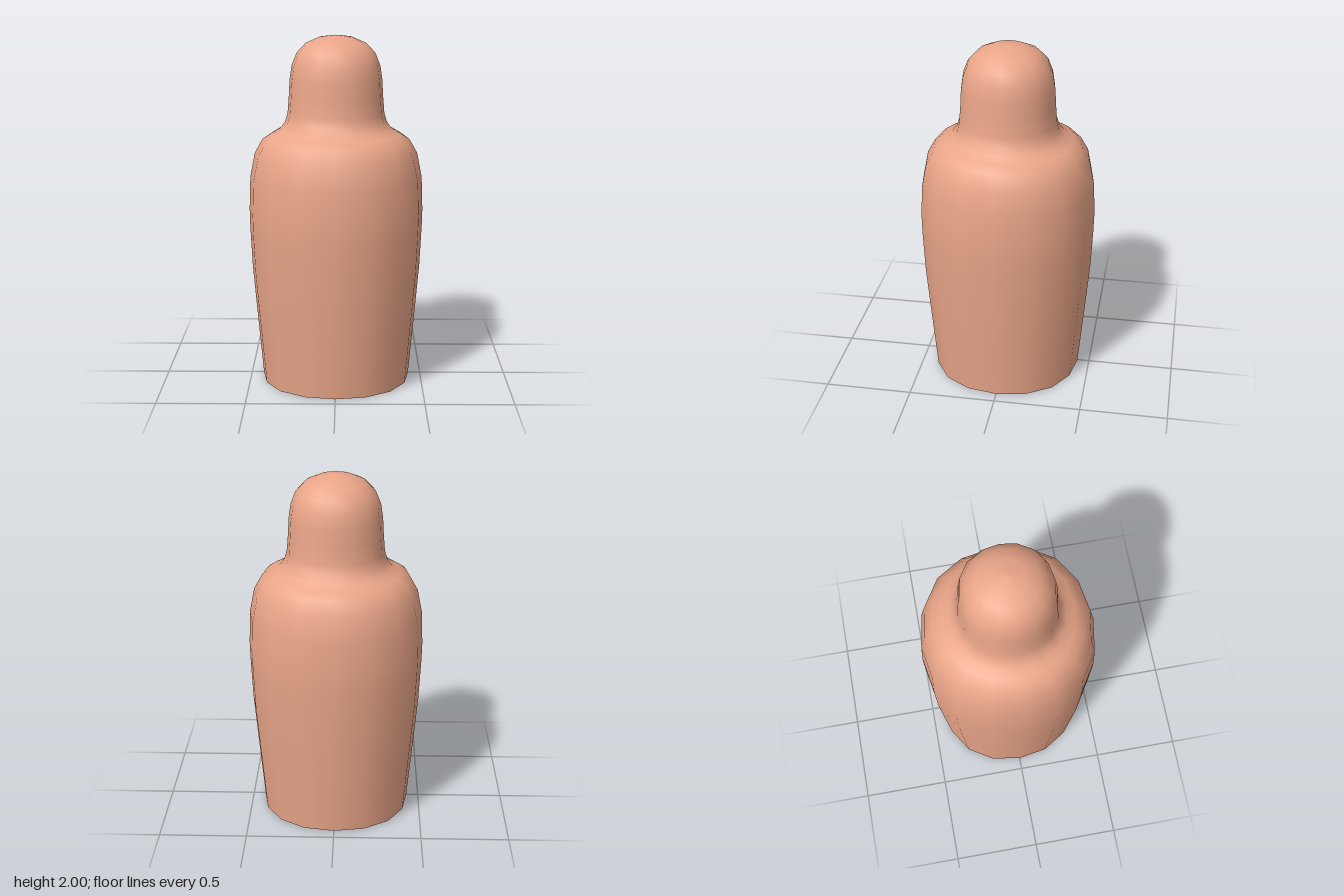
import * as THREE from 'three';

export function createModel() {
  const model = new THREE.Group();
  const material = new THREE.MeshStandardMaterial({ color: 0xe9a588, side: THREE.DoubleSide });

  // Profile from the open base rim, over the shoulder and neck, to the crown
  const profile = [
    [0.43, 0], [0.46, 0.34], [0.487, 0.66], [0.498, 0.9], [0.5, 1.0], [0.493, 1.19],
    [0.465, 1.33], [0.42, 1.41], [0.37, 1.443], [0.32, 1.47], [0.29, 1.51], [0.275, 1.56],
    [0.267, 1.66], [0.262, 1.75], [0.25, 1.83], [0.222, 1.9], [0.17, 1.955], [0.095, 1.988], [0, 2],
  ].map(([r, y]) => new THREE.Vector2(r, y));
  const geometry = new THREE.LatheGeometry(profile, 16);

  // Swell the cross-section slightly at the diagonals
  const pos = geometry.attributes.position;
  for (let i = 0; i < pos.count; i++) {
    const x = pos.getX(i), z = pos.getZ(i);
    const a = Math.atan2(x, z);
    const r = Math.hypot(x, z) * (1 + 0.03 * Math.sin(2 * a) ** 2);
    const b = a + 0.012 * Math.sin(4 * a);
    pos.setX(i, r * Math.sin(b));
    pos.setZ(i, r * Math.cos(b));
  }

  const body = new THREE.Mesh(geometry, material);
  body.name = 'bodyAndHead';
  model.add(body);
  return model;
}
